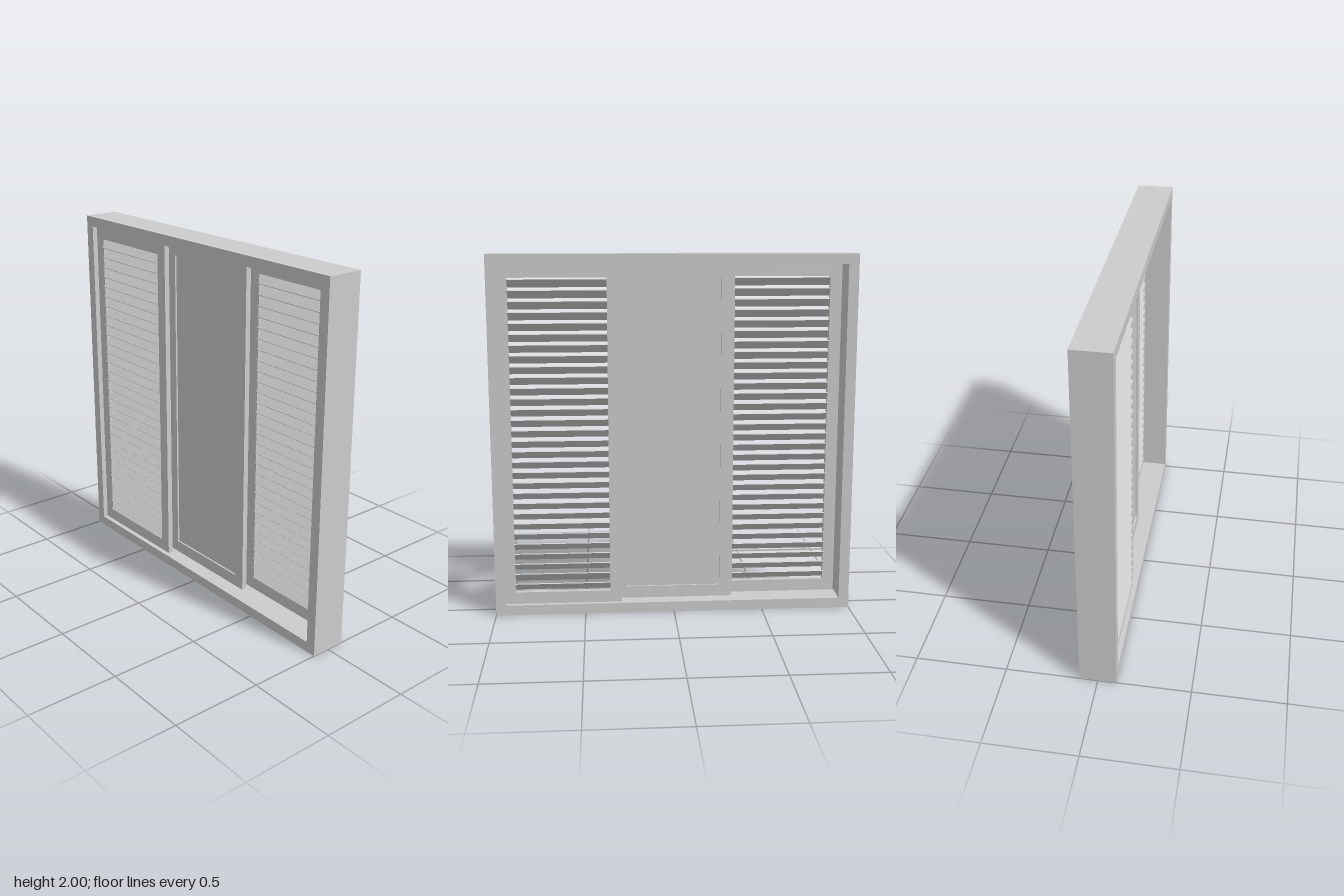
import * as THREE from 'three';

const grey = new THREE.MeshStandardMaterial({ color: 0xcccccc });
grey.name = 'painted grey';

function box(parent, name, w, h, d, x, y, z) {
  const mesh = new THREE.Mesh(new THREE.BoxGeometry(w, h, d), grey);
  mesh.name = name;
  mesh.position.set(x, y, z);
  parent.add(mesh);
  return mesh;
}

const FRAME = 0.057;            // outer frame thickness
const BOTTOM = 0.057, TOP = 1.943;
const STILE = 0.065, RAIL = 0.068;
const OPEN_W = 0.53;            // clear width inside each sash
const SASH_D = 0.03;

// Two stiles and two rails around an opening
function createSash(name, x, z) {
  const sash = new THREE.Group();
  sash.name = name;
  sash.position.set(x, 0, z);
  const h = TOP - BOTTOM;
  for (const s of [-1, 1]) {
    box(sash, s < 0 ? 'rightStile' : 'leftStile', STILE, h, SASH_D, s * (OPEN_W + STILE) / 2, 1, 0);
    box(sash, s < 0 ? 'bottomRail' : 'topRail', OPEN_W, RAIL, SASH_D, 0, 1 + s * (h - RAIL) / 2, 0);
  }
  return sash;
}

// Slats tilted with the top edge to the back
function addLouvres(sash) {
  const count = 30;
  const low = BOTTOM + RAIL;
  const pitch = (TOP - BOTTOM - 2 * RAIL) / count;
  for (let i = 0; i < count; i++) {
    const slat = box(sash, 'slat', OPEN_W, 0.06, 0.006, 0, low + (i + 0.5) * pitch, 0);
    slat.rotation.x = -Math.PI / 4;
  }
}

export function createModel() {
  const model = new THREE.Group();
  model.name = 'slidingShutterWindow';

  // Outer frame: full-height jambs with head and sill between them
  const frame = new THREE.Group();
  frame.name = 'outerFrame';
  for (const s of [-1, 1]) {
    box(frame, s < 0 ? 'rightJamb' : 'leftJamb', FRAME, 2, 0.2, s * (1 - FRAME / 2), 1, 0);
    box(frame, s < 0 ? 'sill' : 'head', 2 - 2 * FRAME, FRAME, 0.2, 0, 1 + s * (1 - FRAME / 2), 0);
  }
  model.add(frame);

  // Three sashes on separate tracks, stepping from front to back
  const right = createSash('rightLouvreSash', -0.61, 0.058);
  const middle = createSash('middlePanelSash', 0, -0.002);
  const left = createSash('leftLouvreSash', 0.625, -0.062);
  addLouvres(right);
  addLouvres(left);
  box(middle, 'panel', OPEN_W, TOP - BOTTOM - 2 * RAIL, 0.01, 0, 1, 0);
  model.add(right, middle, left);

  return model;
}
